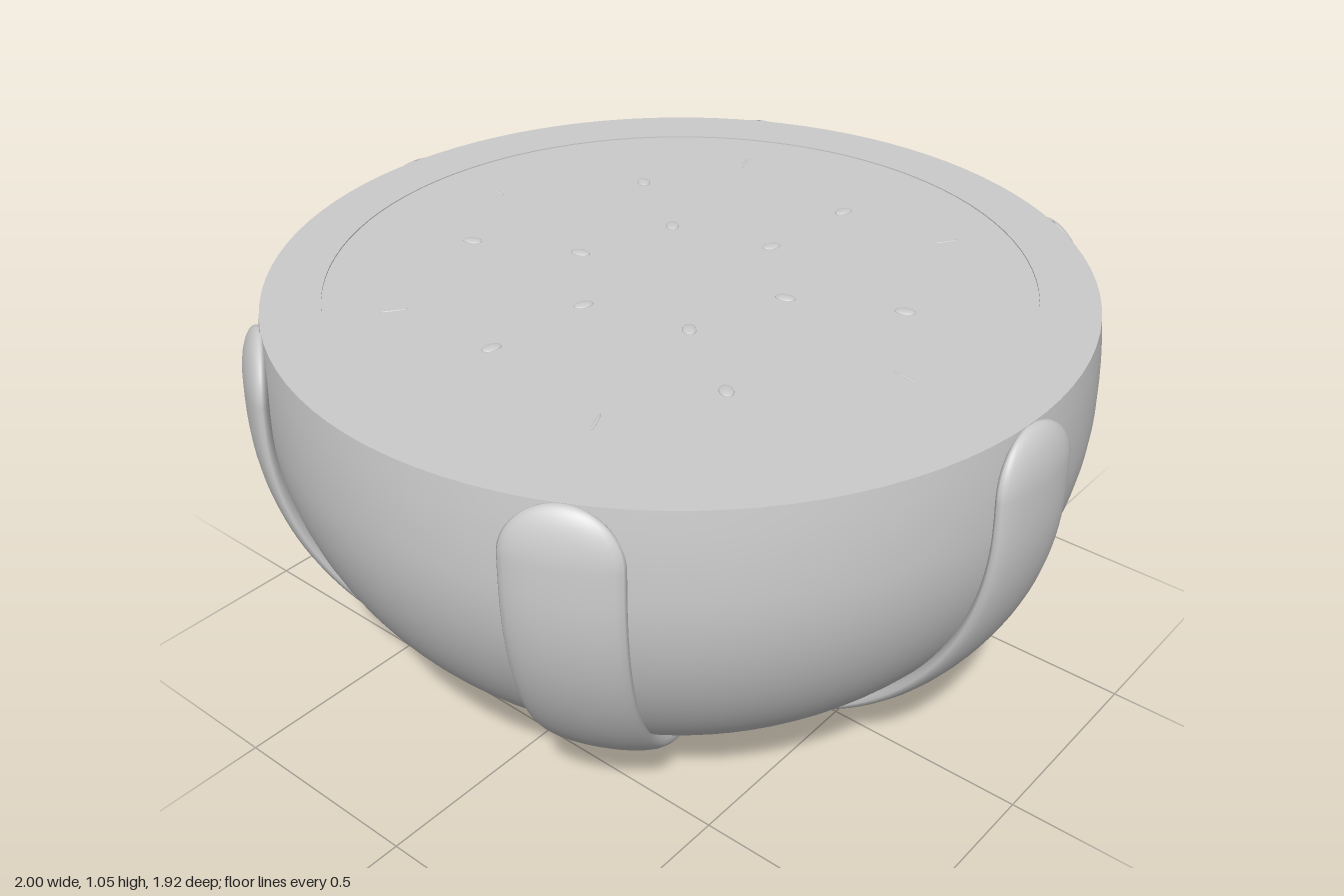
import * as THREE from 'three';
import { ParametricGeometry } from 'three/addons/geometries/ParametricGeometry.js';

const R = 0.96, MID = 0.84, LOW = 0.831, HIGH = 1.15, TOP = 1.045, FLESH = 1.042;
const PHI_TOP = Math.asin((TOP - MID) / HIGH);

// Point on the rind outline: phi = -90 degrees at the bottom, PHI_TOP at the cut.
function outline(phi) {
  return new THREE.Vector2(R * Math.cos(phi), MID + (phi < 0 ? LOW : HIGH) * Math.sin(phi));
}

// Flattened rib following the outline from the bottom centre to a rounded tip.
function stripeGeometry() {
  const capStart = 0.075, half = 0.03;
  return new ParametricGeometry((u, v, target) => {
    // a quarter of the rows goes to the rounded tip
    let phi, taper = 1;
    if (v < 0.75) {
      phi = THREE.MathUtils.lerp(-Math.PI / 2, capStart, v / 0.75);
    } else {
      const k = (v - 0.75) / 0.25 * Math.PI / 2;
      phi = THREE.MathUtils.lerp(capStart, PHI_TOP, Math.sin(k));
      taper = Math.max(Math.cos(k), 0.005);
    }
    const c = outline(phi);
    const b = phi < 0 ? LOW : HIGH;
    const n = new THREE.Vector2(b * Math.cos(phi), R * Math.sin(phi)).normalize();
    // the rib stands proud of the rind but never sinks below the ground
    const proud = Math.min(0.04, c.y);
    const a = u * Math.PI * 2;
    const out = taper * (proud - half + half * Math.cos(a));
    target.set(c.x + n.x * out, c.y + n.y * out, -0.127 * taper * Math.sin(a));
  }, 24, 64);
}

export function createModel() {
  const model = new THREE.Group();
  const grey = new THREE.MeshStandardMaterial({ color: 0xcccccc });
  const add = (name, geometry, parent = model) => {
    const mesh = new THREE.Mesh(geometry, grey);
    mesh.name = name;
    parent.add(mesh);
    return mesh;
  };

  // Rind bowl
  const profile = [];
  for (let i = 0; i <= 40; i++) {
    const p = outline(THREE.MathUtils.lerp(-Math.PI / 2, PHI_TOP, i / 40));
    p.x = Math.max(p.x, 0);
    profile.push(p);
  }
  add('rind', new THREE.LatheGeometry(profile, 96));

  // Cut face with a very shallow, upright inner step
  const cut = [[outline(PHI_TOP).x, TOP], [0.81, TOP], [0.81, FLESH], [0, FLESH]];
  const face = new THREE.LatheGeometry(cut.map(([x, y]) => new THREE.Vector2(x, y)), 96).toNonIndexed();
  face.computeVertexNormals();
  add('cutFace', face);

  // Six raised stripes
  const stripes = new THREE.Group();
  stripes.name = 'stripes';
  model.add(stripes);
  const stripe = stripeGeometry();
  for (let i = 0; i < 6; i++) {
    add('stripe', stripe, stripes).rotation.y = -THREE.MathUtils.degToRad(3.5 + i * 60);
  }

  // Three rings of seeds, mostly sunk in the flesh and level with the rim
  const seeds = new THREE.Group();
  seeds.name = 'seeds';
  model.add(seeds);
  const seedShape = new THREE.SphereGeometry(1, 16, 10);
  const rings = [
    { radius: 0.26, start: -14, length: 0.024, width: 0.016, height: 0.005 },
    { radius: 0.525, start: -20, length: 0.024, width: 0.016, height: 0.005 },
    { radius: 0.655, start: 5, length: 0.032, width: 0.004, height: 0.002 },
  ];
  for (const { radius, start, length, width, height } of rings) {
    for (let i = 0; i < 6; i++) {
      const angle = THREE.MathUtils.degToRad(start + i * 60);
      const seed = add('seed', seedShape, seeds);
      seed.position.set(radius * Math.cos(angle), FLESH, radius * Math.sin(angle));
      seed.rotation.y = -angle;
      seed.scale.set(length, height, width);
    }
  }
  return model;
}
